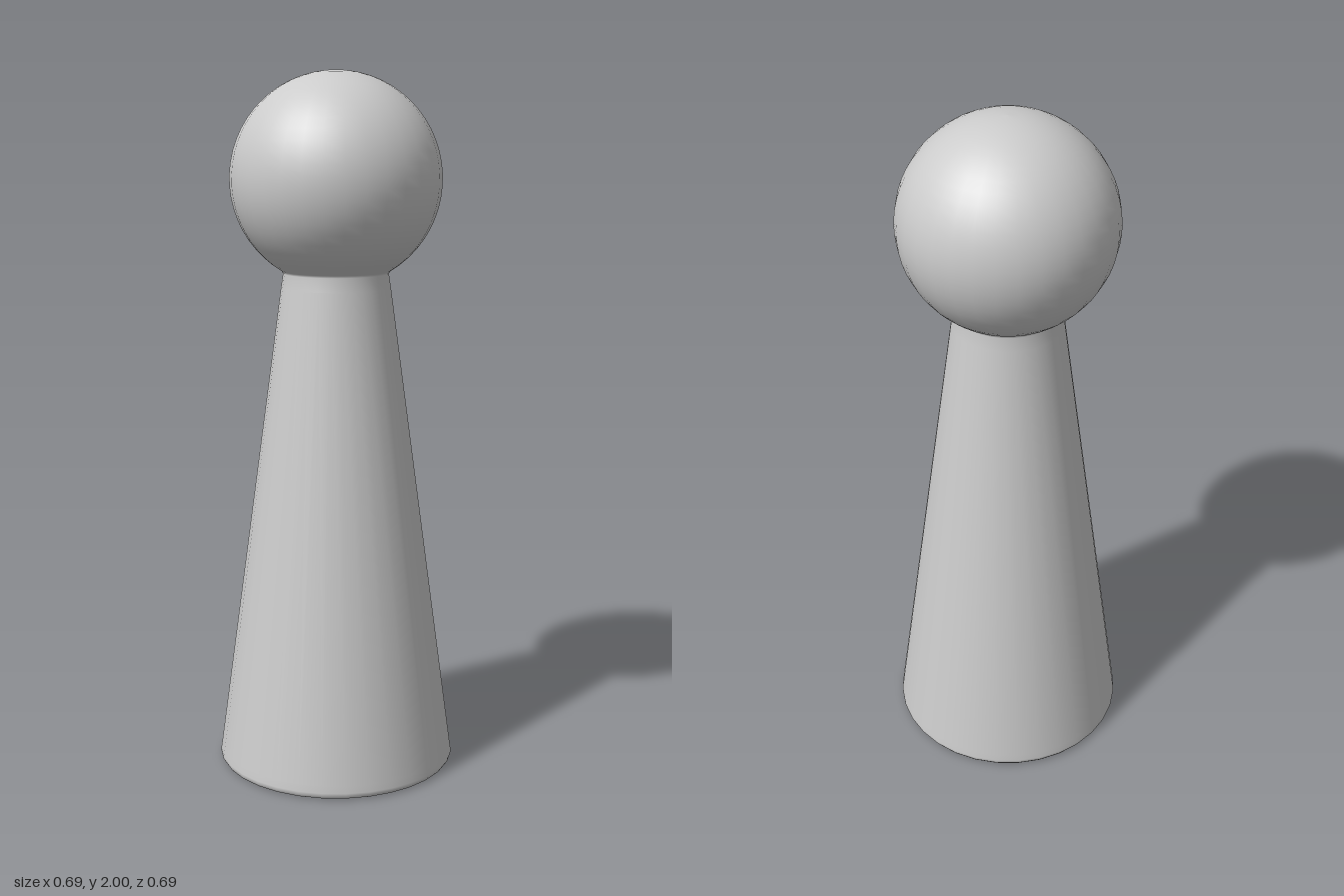
import * as THREE from 'three';

const SIDES = 32;

export function createModel() {
  const group = new THREE.Group();
  group.name = 'pawn';
  const material = new THREE.MeshStandardMaterial({ color: 0xcccccc });

  // Rounded foot, long taper and neck
  const profile = [
    [0.332, 0], [0.34, 0.004], [0.345, 0.012], [0.345, 0.02],
    [0.342, 0.04], [0.156, 1.4], [0.15, 1.44],
  ].map(([r, y]) => new THREE.Vector2(r, y));

  // Ball head, from just above the neck to the pole
  const radius = 0.298, centre = 2 - radius, steps = 24;
  const start = -1.03;
  for (let i = 0; i <= steps; i++) {
    const a = start + (Math.PI / 2 - start) * i / steps;
    profile.push(new THREE.Vector2(Math.max(0, radius * Math.cos(a)), centre + radius * Math.sin(a)));
  }

  const body = new THREE.Mesh(new THREE.LatheGeometry(profile, SIDES), material);
  body.name = 'bodyAndHead';
  group.add(body);

  // Flat underside
  const underside = new THREE.Mesh(new THREE.CircleGeometry(0.332, SIDES), material);
  underside.name = 'underside';
  underside.rotation.x = Math.PI / 2;
  group.add(underside);

  return group;
}
